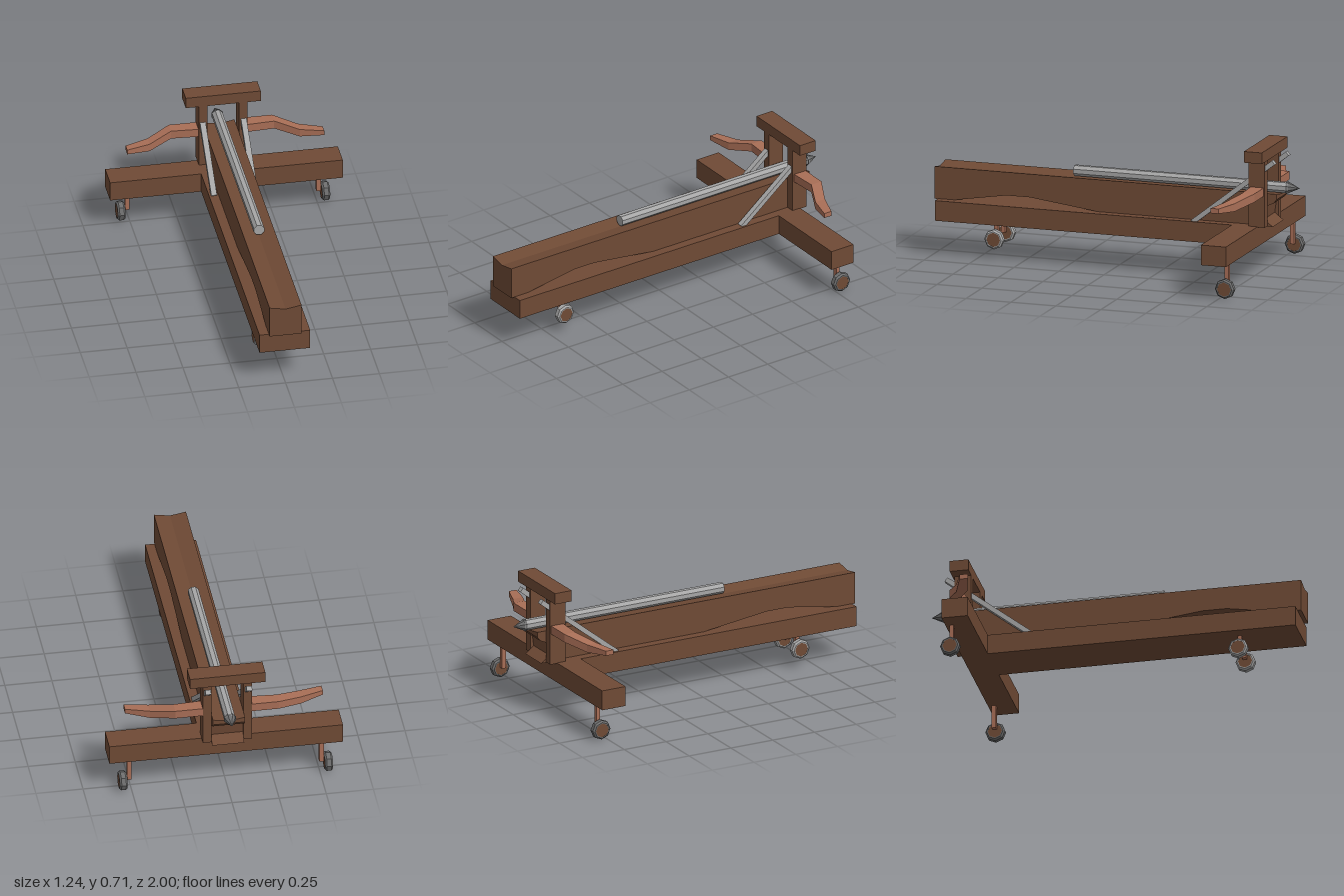
import * as THREE from 'three';

const material = (name, color) => {
  const m = new THREE.MeshStandardMaterial({ color, flatShading: true });
  m.name = name;
  return m;
};

export function createModel() {
  const wood = material('dark wood', 0x6f4a35);
  const paleWood = material('reddish wood', 0xa86e56);
  const steel = material('light steel', 0xa6a6a6);
  const iron = material('dark iron', 0x6c6c6c);

  const model = new THREE.Group();
  model.name = 'ballista';

  const add = (name, geometry, mat, parent = model) => {
    const mesh = new THREE.Mesh(geometry, mat);
    mesh.name = name;
    parent.add(mesh);
    return mesh;
  };

  // Box given by its limits on each axis
  const box = (name, mat, [x0, x1], [y0, y1], [z0, z1]) => {
    const g = new THREE.BoxGeometry(x1 - x0, y1 - y0, z1 - z0);
    g.translate((x0 + x1) / 2, (y0 + y1) / 2, (z0 + z1) / 2);
    return add(name, g, mat);
  };

  // T-shaped base
  box('baseBeam', wood, [-0.135, 0.135], [0.19, 0.298], [-0.67, 0.98]);
  box('crossBeam', wood, [-0.62, 0.62], [0.19, 0.298], [-0.81, -0.67]);

  // Stock: side profile (z, y) extruded across x, with a shallow groove on top
  const profile = [
    [1, 0.296], [0.9, 0.296], [0.6, 0.345], [0.47, 0.345], [0.08, 0.296],
    [-0.88, 0.293], [-0.83, 0.33], [-0.84, 0.4], [-0.885, 0.42], [-0.9, 0.44],
    [-0.9, 0.47], [1, 0.47],
  ].map(([z, y]) => new THREE.Vector2(-z, y));
  const stock = new THREE.ExtrudeGeometry(new THREE.Shape(profile), {
    depth: 0.17, steps: 2, bevelEnabled: false,
  });
  stock.translate(0, 0, -0.085);
  stock.rotateY(Math.PI / 2);
  const p = stock.attributes.position;
  for (let i = 0; i < p.count; i++) {
    if (Math.abs(p.getX(i)) < 0.01 && p.getY(i) > 0.46) p.setY(i, 0.455);
  }
  stock.computeVertexNormals();
  add('stock', stock, wood);

  // Bolt lying in the groove
  const shaft = new THREE.CylinderGeometry(0.03, 0.03, 1.19, 8);
  shaft.rotateY(Math.PI / 8);
  shaft.rotateX(-Math.PI / 2);
  shaft.translate(0, 0.49, -0.345);
  add('boltShaft', shaft, steel);
  const head = new THREE.ConeGeometry(0.034, 0.07, 8);
  head.rotateY(Math.PI / 8);
  head.rotateX(-Math.PI / 2);
  head.translate(0, 0.49, -0.965);
  add('boltHead', head, iron);

  // Crossbar above the uprights
  box('topBar', wood, [-0.2, 0.2], [0.655, 0.715], [-0.86, -0.76]);

  // Bow arm: box whose vertices follow sections [x, y0, y1, z0, z1]
  const sections = [
    [0.1, 0.465, 0.51, -0.845, -0.77], [0.275, 0.465, 0.51, -0.845, -0.78],
    [0.4, 0.438, 0.48, -0.78, -0.72], [0.525, 0.45, 0.476, -0.735, -0.69],
  ];
  const armGeometry = (side) => {
    const g = new THREE.BoxGeometry(3, 1, 1, 3, 1, 1);
    const a = g.attributes.position;
    for (let i = 0; i < a.count; i++) {
      const k = Math.round(side * a.getX(i) + 1.5);
      const [x, y0, y1, z0, z1] = sections[k];
      a.setXYZ(i, side * x, a.getY(i) < 0 ? y0 : y1, a.getZ(i) < 0 ? z0 : z1);
    }
    g.computeVertexNormals();
    return g;
  };

  // Eight-sided wheel with chamfered rim and wooden hub, axle along x
  const wheel = (name, x, y, z, rimMaterial) => {
    const group = new THREE.Group();
    group.name = name;
    const rim = [[0.038, -0.021], [0.044, -0.021], [0.053, -0.012], [0.053, 0.012],
      [0.044, 0.021], [0.038, 0.021], [0.038, -0.021]];
    const tyre = new THREE.LatheGeometry(rim.map(([r, h]) => new THREE.Vector2(r, h)), 8);
    tyre.rotateZ(Math.PI / 2);
    add('rim', tyre, rimMaterial, group);
    const hub = new THREE.CylinderGeometry(0.039, 0.039, 0.04, 8);
    hub.rotateZ(Math.PI / 2);
    add('hub', hub, wood, group);
    group.position.set(x, y, z);
    model.add(group);
  };

  // Parts repeated on both sides
  for (const side of [1, -1]) {
    const label = side > 0 ? 'left' : 'right';
    const span = (a, b) => (side > 0 ? [a, b] : [-b, -a]);

    box(label + 'Upright', wood, span(0.085, 0.13), [0.295, 0.656], [-0.85, -0.76]);
    add(label + 'BowArm', armGeometry(side), paleWood);

    // Diagonal brace passing through the upright
    const from = new THREE.Vector3(side * 0.109, 0.293, -0.446);
    const to = new THREE.Vector3(side * 0.109, 0.648, -0.896);
    const brace = add(label + 'Brace',
      new THREE.BoxGeometry(0.03, 0.026, from.distanceTo(to)), steel);
    brace.position.copy(from).add(to).multiplyScalar(0.5);
    brace.rotation.x = Math.atan2(to.y - from.y, from.z - to.z);

    // Wheels on their legs
    box(label + 'OuterLeg', paleWood, span(0.498, 0.522), [0.062, 0.192], [-0.79, -0.768]);
    wheel(label + 'OuterWheel', side * 0.545, 0.055, -0.779, iron);
    box(label + 'InnerLeg', paleWood, span(0.042, 0.066), [0.112, 0.192], [0.654, 0.676]);
    wheel(label + 'InnerWheel', side * 0.09, 0.106, 0.665, steel);
  }

  return model;
}
